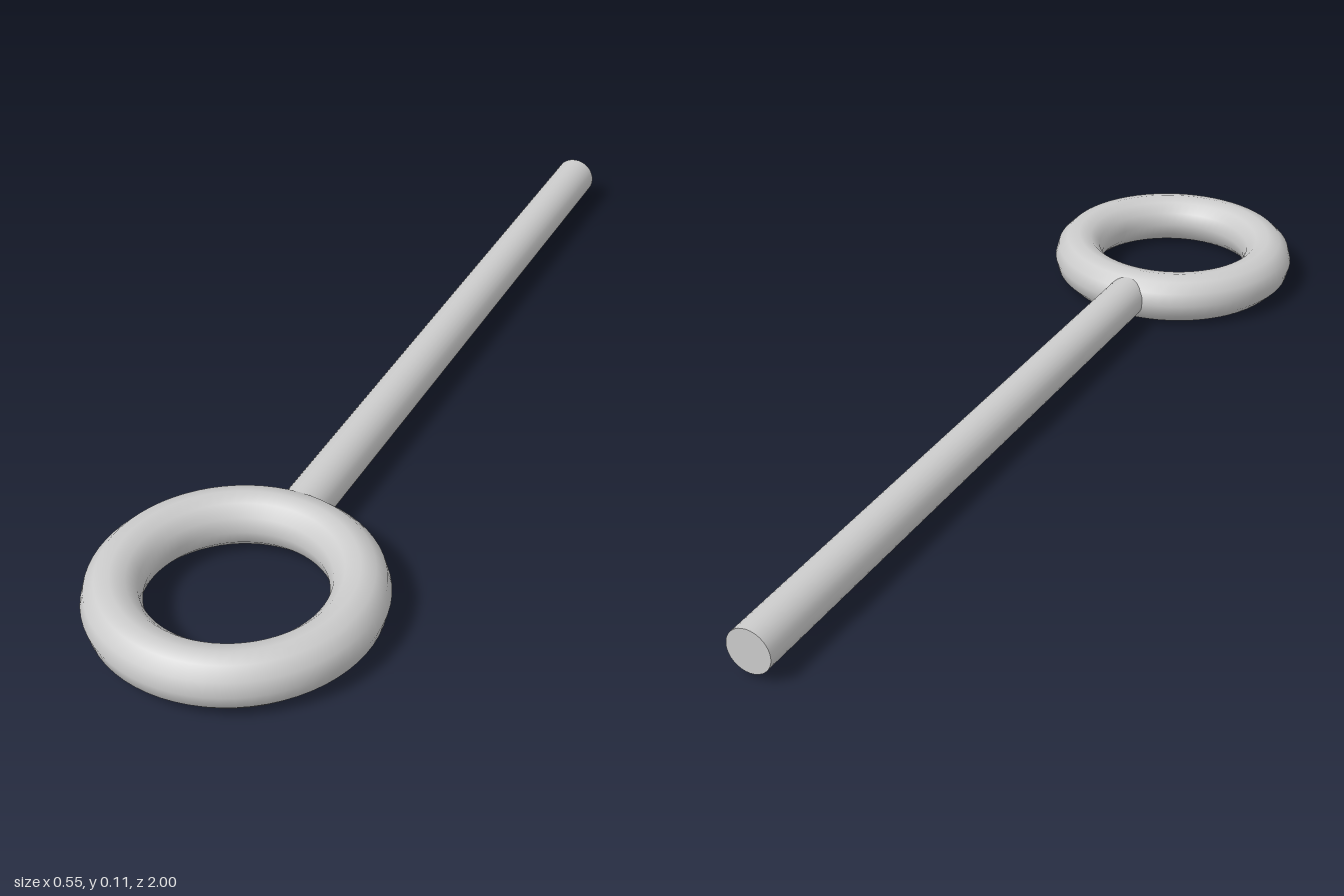
import * as THREE from 'three';

export function createModel() {
  const group = new THREE.Group();
  const material = new THREE.MeshStandardMaterial({ color: 0xcccccc });

  const tube = 0.055, ringRadius = 0.22, ringZ = 1 - ringRadius - tube;

  // Flat-lying ring at the front
  const ring = new THREE.Mesh(new THREE.TorusGeometry(ringRadius, tube, 12, 64), material);
  ring.name = 'ring';
  ring.rotation.x = -Math.PI / 2;
  ring.position.set(0, tube, ringZ);
  group.add(ring);

  // Straight shank, from the back end to the middle of the ring's tube
  const back = -1, front = ringZ - ringRadius;
  const shank = new THREE.Mesh(new THREE.CylinderGeometry(0.045, 0.045, front - back, 32), material);
  shank.name = 'shank';
  shank.rotation.x = Math.PI / 2;
  shank.position.set(0, tube + 0.002, (front + back) / 2);
  group.add(shank);

  return group;
}
